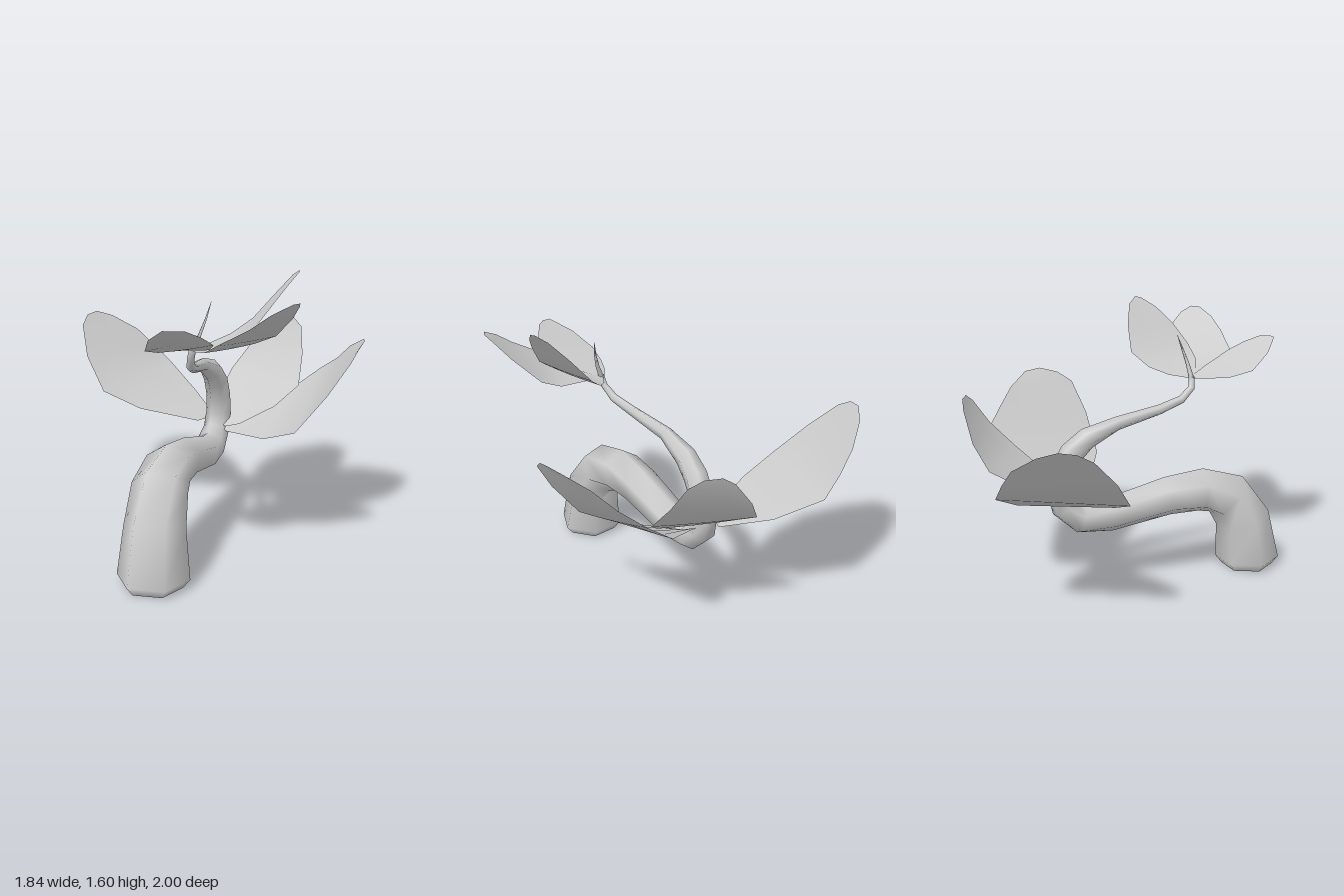
import * as THREE from 'three';

const material = new THREE.MeshStandardMaterial({ color: 0xcccccc });
const thinMaterial = new THREE.MeshStandardMaterial({ color: 0xcccccc, side: THREE.DoubleSide });

function makeMesh(name, positions, index, mat) {
  const geo = new THREE.BufferGeometry();
  geo.setAttribute('position', new THREE.Float32BufferAttribute(positions, 3));
  geo.setIndex(index);
  geo.computeVertexNormals();
  const mesh = new THREE.Mesh(geo, mat);
  mesh.name = name;
  return mesh;
}

// Tapering tube through stations [x, y, z, radius]
function taperedTube(name, stations, sides) {
  const centres = stations.map(([x, y, z]) => new THREE.Vector3(x, y, z));
  const positions = [], index = [];
  const last = centres.length - 1;
  centres.forEach((c, i) => {
    const t = centres[Math.min(i + 1, last)].clone().sub(centres[Math.max(i - 1, 0)]).normalize();
    if (i <= 1 && c.y < 0.1) t.set(0, 1, 0); // keep the foot level
    const n = new THREE.Vector3(0, 0, 1).cross(t).normalize();
    const b = t.clone().cross(n);
    for (let j = 0; j < sides; j++) {
      const a = (j / sides) * Math.PI * 2;
      const p = c.clone()
        .addScaledVector(n, Math.cos(a) * stations[i][3])
        .addScaledVector(b, Math.sin(a) * stations[i][3]);
      positions.push(p.x, p.y, p.z);
    }
  });
  for (let i = 0; i < last; i++) {
    for (let j = 0; j < sides; j++) {
      const k = (j + 1) % sides;
      const a = i * sides + j, b = i * sides + k;
      index.push(a, b, b + sides, a, b + sides, a + sides);
    }
  }
  // End caps with their own corners, so they stay flat
  for (const [ring, start] of [[0, true], [last, false]]) {
    const base = positions.length / 3;
    positions.push(...positions.slice(ring * sides * 3, (ring + 1) * sides * 3));
    for (let j = 1; j < sides - 1; j++) {
      index.push(base, base + (start ? j + 1 : j), base + (start ? j : j + 1));
    }
  }
  return makeMesh(name, positions, index, material);
}

// Thin blade spanned between two matching edges that run from base to tip
function blade(name, left, right, sag = 0.01) {
  const positions = [], index = [], across = 4;
  left.forEach((l, i) => {
    const a = new THREE.Vector3(...l), b = new THREE.Vector3(...right[i]);
    const width = a.distanceTo(b);
    for (let j = 0; j <= across; j++) {
      const u = j / across;
      const p = a.clone().lerp(b, u);
      positions.push(p.x, p.y - sag * 4 * u * (1 - u) * width, p.z);
    }
  });
  const row = across + 1;
  for (let i = 0; i < left.length - 1; i++) {
    for (let j = 0; j < across; j++) {
      const a = i * row + j;
      index.push(a, a + 1, a + row + 1, a, a + row + 1, a + row);
    }
  }
  return makeMesh(name, positions, index, thinMaterial);
}

export function createModel() {
  const group = new THREE.Group();
  group.name = 'floweringBranch';

  // Bent stem, doubling back over itself and thinning to the flower
  group.add(taperedTube('stem', [
    [-0.725, 0, 0.39, 0.155], [-0.725, 0.05, 0.39, 0.195],
    [-0.69, 0.31, 0.37, 0.165], [-0.585, 0.48, 0.31, 0.15],
    [-0.43, 0.53, 0.23, 0.135], [-0.24, 0.515, 0.15, 0.118],
    [0.09, 0.437, 0.02, 0.102], [0.25, 0.43, -0.05, 0.088],
    [0.345, 0.51, -0.085, 0.077], [0.37, 0.61, -0.09, 0.074],
    [0.355, 0.72, -0.08, 0.072], [0.3, 0.83, -0.055, 0.07],
    [0.215, 0.91, -0.02, 0.062], [0.05, 0.98, 0.055, 0.04],
    [-0.19, 1.03, 0.2, 0.029], [-0.31, 1.07, 0.285, 0.024],
    [-0.365, 1.13, 0.33, 0.02], [-0.365, 1.19, 0.345, 0.018],
  ], 6));

  // Slender spike at the heart of the flower
  group.add(taperedTube('pistil', [
    [-0.365, 1.18, 0.345, 0.015], [-0.34, 1.26, 0.37, 0.011],
    [-0.31, 1.34, 0.385, 0.007], [-0.275, 1.43, 0.393, 0.001],
  ], 4));

  // Large leaves at the bend of the stem
  group.add(blade('backLeaf',
    [[0.26, 0.56, -0.16], [0.02, 0.64, -0.41], [-0.08, 0.73, -0.62], [-0.03, 0.91, -0.81], [0.07, 1.07, -0.95], [0.15, 1.12, -0.99], [0.24, 1.13, -1.0]],
    [[0.42, 0.56, -0.16], [0.55, 0.645, -0.43], [0.615, 0.77, -0.69], [0.56, 0.88, -0.79], [0.49, 0.99, -0.88], [0.35, 1.09, -0.97], [0.24, 1.13, -1.0]], 0));
  group.add(blade('leftLeaf',
    [[0.33, 0.55, -0.05], [0.41, 0.59, -0.11], [0.55, 0.67, -0.23], [0.73, 0.78, -0.28], [0.83, 0.92, -0.22], [0.9, 1.08, -0.11], [0.92, 1.13, -0.04]],
    [[0.33, 0.54, 0.0], [0.37, 0.56, 0.07], [0.53, 0.66, 0.21], [0.69, 0.77, 0.27], [0.82, 0.93, 0.2], [0.9, 1.08, 0.13], [0.92, 1.13, 0.05]]));
  group.add(blade('frontLeaf',
    [[0.33, 0.51, 0.0], [0.24, 0.555, 0.35], [0.225, 0.64, 0.58], [0.31, 0.86, 0.73], [0.41, 1.04, 0.81], [0.5, 1.1, 0.8], [0.61, 1.13, 0.77]],
    [[0.36, 0.54, -0.06], [0.75, 0.72, 0.17], [0.85, 0.86, 0.32], [0.81, 0.95, 0.46], [0.76, 1.05, 0.58], [0.69, 1.12, 0.71], [0.61, 1.13, 0.77]]));

  // Flower petals at the tip of the stem
  group.add(blade('rightPetal',
    [[-0.36, 1.185, 0.33], [-0.45, 1.19, 0.31], [-0.59, 1.2, 0.31], [-0.72, 1.235, 0.34], [-0.81, 1.32, 0.45], [-0.85, 1.39, 0.58]],
    [[-0.36, 1.19, 0.36], [-0.44, 1.22, 0.52], [-0.58, 1.29, 0.665], [-0.67, 1.34, 0.67], [-0.77, 1.385, 0.65], [-0.83, 1.39, 0.62]]));
  group.add(blade('frontPetal',
    [[-0.38, 1.19, 0.35], [-0.46, 1.2, 0.43], [-0.54, 1.23, 0.57], [-0.59, 1.29, 0.69], [-0.53, 1.38, 0.84], [-0.47, 1.45, 0.92], [-0.39, 1.5, 0.99]],
    [[-0.34, 1.185, 0.35], [-0.27, 1.2, 0.47], [-0.18, 1.22, 0.6], [-0.14, 1.27, 0.71], [-0.21, 1.39, 0.86], [-0.28, 1.47, 0.95], [-0.34, 1.5, 0.995]]));
  group.add(blade('leftPetal',
    [[-0.37, 1.19, 0.35], [-0.39, 1.2, 0.46], [-0.38, 1.25, 0.61], [-0.33, 1.32, 0.7], [-0.23, 1.44, 0.745], [-0.13, 1.53, 0.765], [-0.03, 1.59, 0.765]],
    [[-0.36, 1.185, 0.335], [-0.23, 1.2, 0.35], [-0.11, 1.235, 0.39], [0.0, 1.31, 0.45], [0.03, 1.45, 0.57], [0.03, 1.56, 0.68], [0.0, 1.595, 0.745]]));

  return group;
}
